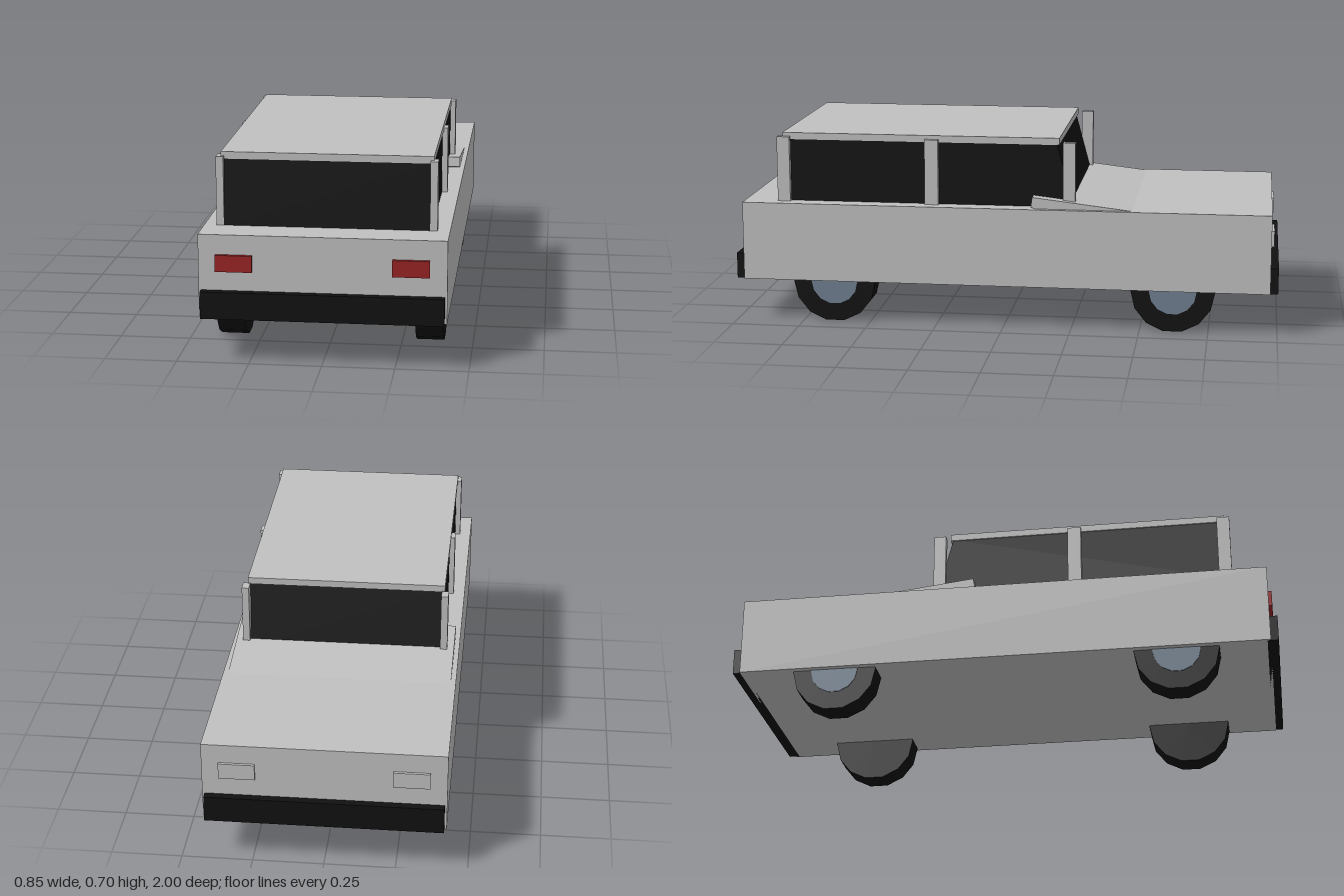
import * as THREE from 'three';

const mat = (name, color) => {
  const m = new THREE.MeshStandardMaterial({ color });
  m.name = name;
  return m;
};

export function createModel() {
  const car = new THREE.Group();
  car.name = 'car';
  const silver = mat('silver paint', 0xc0c0c0);
  const black = mat('black', 0x111111);
  const red = mat('red lamp', 0x9a2424);
  const slate = mat('slate hub', 0x708090);

  const add = (name, geometry, material) => {
    const mesh = new THREE.Mesh(geometry, material);
    mesh.name = name;
    car.add(mesh);
    return mesh;
  };
  // Box given by its extents on each axis
  const box = (name, material, [x0, x1], [y0, y1], [z0, z1]) =>
    add(name, new THREE.BoxGeometry(x1 - x0, y1 - y0, z1 - z0), material)
      .position.set((x0 + x1) / 2, (y0 + y1) / 2, (z0 + z1) / 2);
  // Side profile of [z, y] points, extruded across the width
  const profile = (name, material, points, halfWidth) => {
    const shape = new THREE.Shape(points.map(([z, y]) => new THREE.Vector2(z, y)));
    const g = new THREE.ExtrudeGeometry(shape, { depth: halfWidth * 2, bevelEnabled: false });
    g.translate(0, 0, -halfWidth).rotateY(-Math.PI / 2);
    add(name, g, material);
  };

  // Body and bumpers
  box('body', silver, [-0.423, 0.423], [0.155, 0.445], [-0.972, 0.972]);
  box('tailBumper', black, [-0.415, 0.415], [0.155, 0.25], [0.96, 1]);
  box('noseBumper', black, [-0.415, 0.415], [0.155, 0.25], [-1, -0.96]);

  // Tilted cowl in front of the windscreen
  profile('cowl', silver,
    [[-0.47, 0.445], [-0.105, 0.487], [-0.1, 0.45], [-0.13, 0.44], [-0.47, 0.44]], 0.405);

  // Cabin glass and roof
  profile('cabinGlass', black,
    [[0.845, 0.44], [0.825, 0.68], [-0.19, 0.68], [-0.255, 0.44]], 0.36);
  box('roof', silver, [-0.365, 0.365], [0.675, 0.7], [-0.2, 0.828]);

  for (const s of [-1, 1]) {
    const span = (a, b) => (s > 0 ? [a, b] : [-b, -a]);
    // Pillars
    for (const [name, z] of [['tailPillar', [0.8, 0.847]], ['middlePillar', [0.245, 0.295]],
      ['windscreenPillar', [-0.26, -0.215]]]) {
      box(name, silver, span(0.354, 0.38), [0.44, 0.686], z);
    }
    // Lamps
    box('tailLamp', red, span(0.238, 0.364), [0.318, 0.376], [0.965, 0.985]);
    box('headLamp', silver, span(0.238, 0.364), [0.318, 0.376], [-0.982, -0.965]);
    // Wheels
    for (const z of [0.635, -0.62]) {
      const tyre = new THREE.CylinderGeometry(0.154, 0.154, 0.097, 14).rotateZ(Math.PI / 2);
      add('tyre', tyre, black).position.set(s * 0.3495, 0.15, z);
      const hub = new THREE.CylinderGeometry(0.087, 0.087, 0.03, 14).rotateZ(Math.PI / 2);
      add('hub', hub, slate).position.set(s * 0.386, 0.15, z);
    }
  }
  return car;
}
